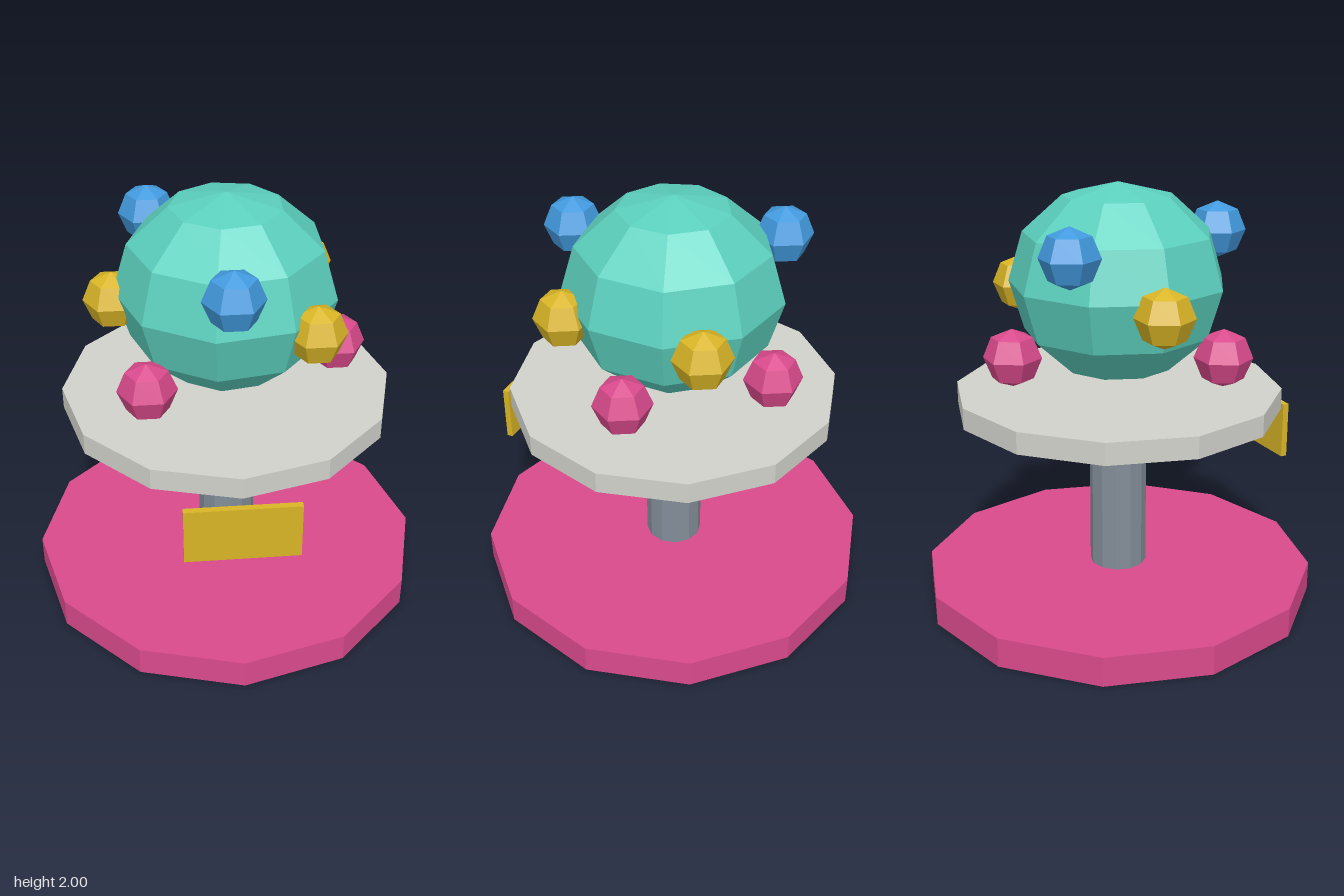
import * as THREE from 'three';

export function createModel() {
  const model = new THREE.Group();
  const paint = (name, color) => {
    const m = new THREE.MeshStandardMaterial({ color, flatShading: true });
    m.name = name;
    return m;
  };
  const pink = paint('pink', 0xd94a8c);
  const gold = paint('gold', 0xd9b526);
  const blue = paint('blue', 0x429ade);
  const teal = paint('teal', 0x5cd0be);
  const paleGrey = paint('pale grey', 0xd2d2cc);
  const steel = paint('steel', 0x838e99);

  const add = (name, geometry, material, x, y, z) => {
    const mesh = new THREE.Mesh(geometry, material);
    mesh.name = name;
    mesh.position.set(x, y, z);
    model.add(mesh);
    return mesh;
  };
  // Twelve-sided disc or column between two heights
  const disc = (name, radius, y0, y1, material) =>
    add(name, new THREE.CylinderGeometry(radius, radius, y1 - y0, 12), material, 0, (y0 + y1) / 2, 0);

  // Stand
  disc('base', 0.94, 0, 0.14, pink);
  disc('post', 0.136, 0.14, 0.94, steel);
  disc('tray', 0.77, 0.94, 1.042, paleGrey);

  // Sign plate ahead of the post
  add('sign', new THREE.BoxGeometry(0.512, 0.27, 0.03), gold, 0, 0.77, 0.786);

  // Slightly squashed large ball
  add('globe', new THREE.SphereGeometry(0.508, 9, 6), teal, 0, 1.542, 0).scale.y = 0.9;

  // Small balls circling the globe at three repeating heights
  const ballGeometry = new THREE.SphereGeometry(0.135, 6, 4);
  const ballColours = [pink, gold, blue];
  for (let i = 0; i < 8; i++) {
    const a = i * 0.8, row = i % 3;
    add(`ball${i + 1}`, ballGeometry, ballColours[row],
      0.512 * Math.cos(a), 1.232 + 0.257 * row, 0.512 * Math.sin(a));
  }
  return model;
}
